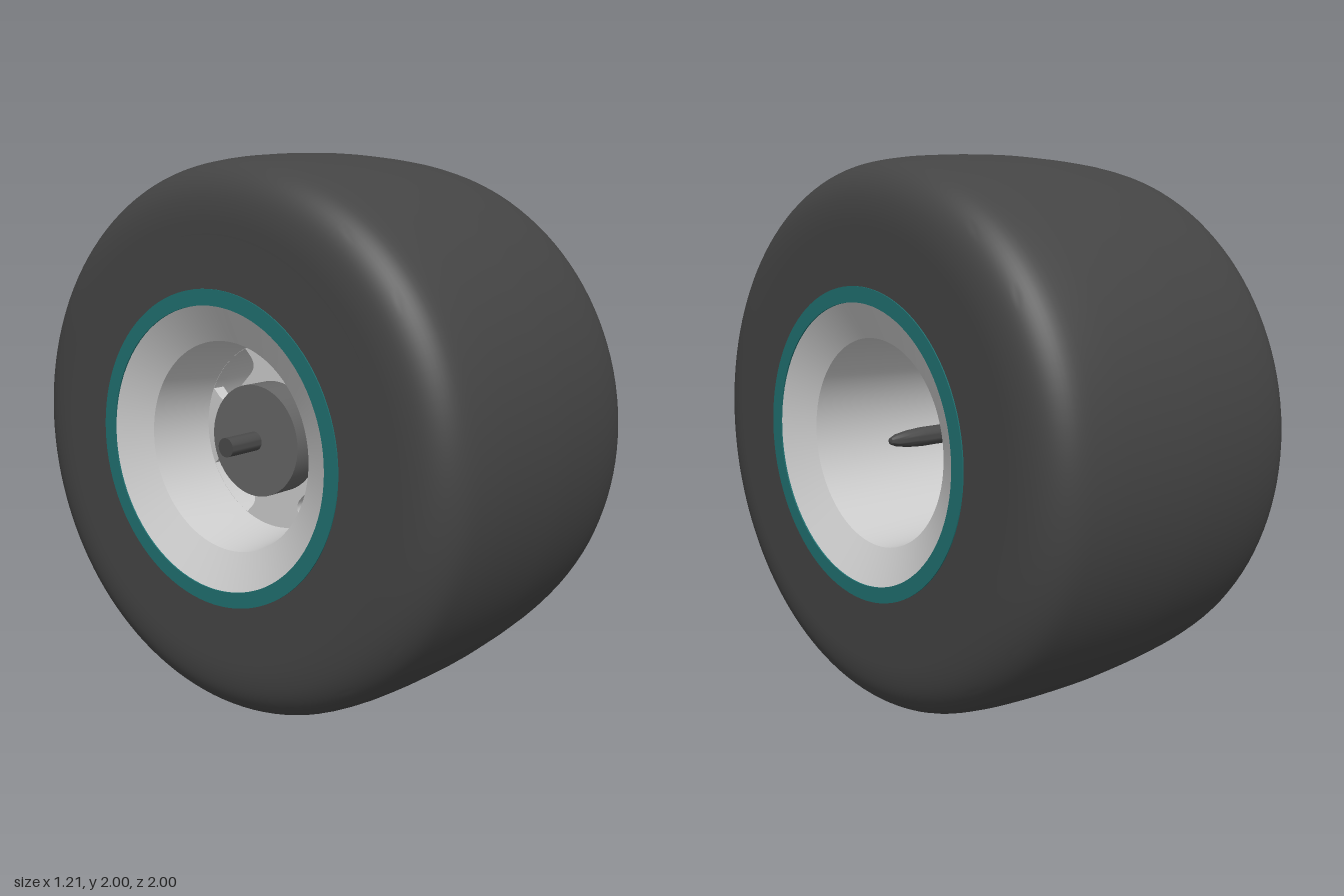
import * as THREE from 'three';
import { toCreasedNormals } from 'three/addons/utils/BufferGeometryUtils.js';

const mat = (color) => new THREE.MeshStandardMaterial({ color });
const rubber = mat(0x444444), teal = mat(0x207070), metal = mat(0xcccccc);
const hubGrey = mat(0x666666), darkSteel = mat(0x4a4a4a);

export function createModel() {
  const wheel = new THREE.Group();
  wheel.name = 'wheel';
  wheel.position.y = 1;

  const add = (name, geometry, material) => {
    const mesh = new THREE.Mesh(geometry, material);
    mesh.name = name;
    wheel.add(mesh);
    return mesh;
  };

  // Turn a profile of [radius, x] points around the x axis
  const turn = (name, points, material, segments = 96, crease = 0.45) => {
    const profile = points.map(([r, x]) => new THREE.Vector2(r, x));
    const geo = toCreasedNormals(new THREE.LatheGeometry(profile, segments), crease);
    geo.rotateZ(-Math.PI / 2);
    return add(name, geo, material);
  };

  // Tyre: gently crowned tread with rounded shoulders and flat sidewalls
  const half = [[0.70, 0.6], [0.80, 0.598], [0.87, 0.582], [0.92, 0.55],
    [0.955, 0.5], [0.977, 0.4], [0.991, 0.25], [0.998, 0.1]];
  const section = [...half.map(([r, x]) => [r, -x]), [1, 0], ...half.slice().reverse()];
  const curve = new THREE.CatmullRomCurve3(section.map(([r, x]) => new THREE.Vector3(r, x, 0)));
  const tread = curve.getPoints(64).map((p) => [Math.min(p.x, 1), p.y]);
  turn('tyre', [[0.5, -0.58], [0.5, -0.6], ...tread, [0.5, 0.6], [0.5, 0.58], [0.5, -0.58]], rubber, 128);

  // Coloured bands where the tyre meets the rim
  for (const s of [-1, 1]) {
    const a = s * 0.604 - 0.012, b = s * 0.604;
    const lo = s > 0 ? a : b, hi = s > 0 ? b : b + 0.012;
    turn(s > 0 ? 'leftBand' : 'rightBand',
      [[0.492, lo], [0.547, lo], [0.547, hi], [0.492, hi], [0.492, lo]], teal);
  }

  // Rim: conical lips running into a deep, slightly tapering barrel
  const plateX = -0.28, plateDepth = 0.05;
  turn('rim', [
    [0.497, -0.602], [0.51, -0.58], [0.51, 0.58], [0.497, 0.602],
    [0.367, 0.53], [0.338, plateX + plateDepth], [0.338, plateX],
    [0.367, -0.53], [0.497, -0.602],
  ], metal, 96, 0.2);

  // Spoke plate: disc with four rounded windows on the diagonals
  const plate = new THREE.Shape();
  plate.absarc(0, 0, 0.35, 0, Math.PI * 2);
  const outer = 0.337, inner = 0.235, w = 0.115, c = 0.05;
  const edge = Math.asin(w / outer);
  for (let i = 0; i < 4; i++) {
    const turnBy = Math.PI / 4 + i * Math.PI / 2;
    const at = (u, v) => [
      u * Math.cos(turnBy) - v * Math.sin(turnBy),
      u * Math.sin(turnBy) + v * Math.cos(turnBy),
    ];
    const hole = new THREE.Path();
    hole.moveTo(...at(inner + c, -w));
    hole.lineTo(...at(outer * Math.cos(edge), -w));
    hole.absarc(0, 0, outer, turnBy - edge, turnBy + edge);
    hole.lineTo(...at(inner + c, w));
    hole.quadraticCurveTo(...at(inner, w), ...at(inner, w - c));
    hole.lineTo(...at(inner, c - w));
    hole.quadraticCurveTo(...at(inner, -w), ...at(inner + c, -w));
    plate.holes.push(hole);
  }
  const plateGeo = new THREE.ExtrudeGeometry(plate, { depth: plateDepth, bevelEnabled: false, curveSegments: 24 });
  plateGeo.rotateY(Math.PI / 2);
  add('spokePlate', plateGeo, metal).position.x = plateX;

  // Hub: drum behind the plate, tapered boss and cap in front of it
  turn('hubDrum', [[0, -0.39], [0.2, -0.39], [0.2, plateX], [0, plateX]], hubGrey, 64);
  turn('hubBoss', [[0, plateX], [0.19, plateX], [0.19, -0.21], [0.14, -0.1], [0, -0.1]], hubGrey, 64);

  // Hexagonal wheel nut with a round collar
  turn('wheelNut', [[0, -0.1], [0.072, -0.1], [0.072, -0.04], [0.058, -0.03], [0, -0.03]], hubGrey, 6, 0.3);
  turn('nutCollar', [[0, -0.03], [0.046, -0.03], [0.046, -0.01], [0, -0.01]], darkSteel, 32);

  // Axle: blunt at one end, bullet-shaped at the other
  turn('axle', [
    [0, -0.535], [0.034, -0.535], [0.034, 0.33], [0.03, 0.39],
    [0.022, 0.44], [0.012, 0.465], [0, 0.47],
  ], darkSteel, 32, 0.6);

  const model = new THREE.Group();
  model.add(wheel);
  return model;
}
